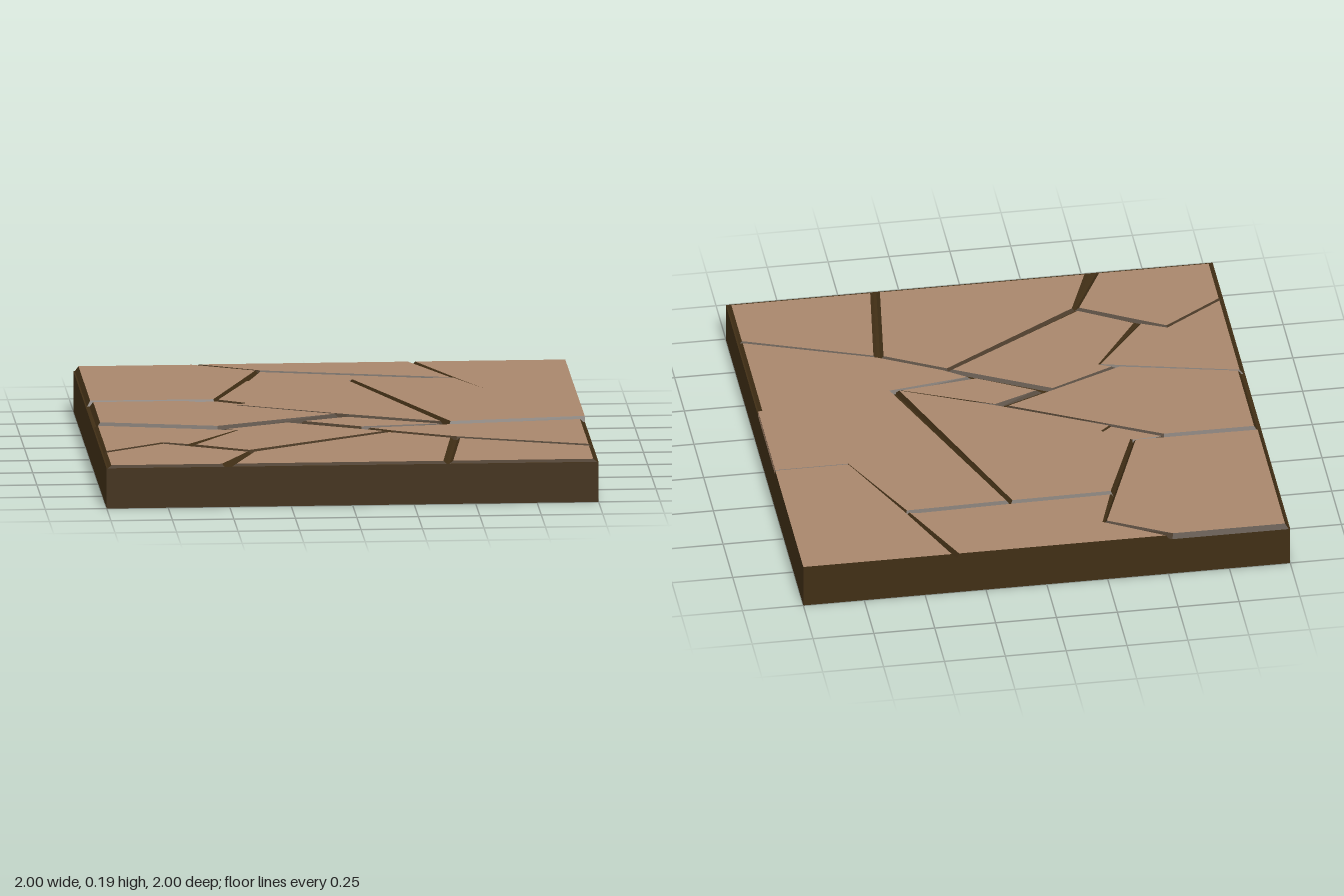
import * as THREE from 'three';

const BASE_TOP = 0.165;
const SKIRT = 0.014;

// Each slab: top height, then its outline [x, z], clockwise from above
const SLABS = {
  backLeft: [0.187, [[-0.98, -0.99], [-0.52, -0.99], [-0.27, -0.855], [-0.48, -0.28], [-0.98, -0.285]]],
  backMiddle: [0.186, [[-0.49, -1], [0.36, -1], [0.51, -0.67], [-0.25, -0.86]]],
  backWedge: [0.18, [[-0.25, -0.86], [0.51, -0.67], [0.09, -0.66], [-0.315, -0.655]]],
  backRight: [0.186, [[0.39, -1], [1, -1], [1, -0.275], [0.7, -0.275], [0.53, -0.66]]],
  right: [0.188, [[0.11, -0.645], [0.52, -0.655], [0.7, -0.275], [1, -0.275], [1, 0.165], [0.45, 0.235]]],
  centre: [0.187, [[-0.32, -0.64], [0.085, -0.645], [0.41, 0.23], [0.04, 0.06], [-0.39, -0.16],
    [-0.35, -0.195], [-0.46, -0.27]]],
  chip: [0.18, [[-0.59, -0.26], [-0.47, -0.268], [-0.355, -0.195], [-0.39, -0.155]]],
  left: [0.187, [[-0.97, -0.255], [-0.6, -0.255], [-0.39, -0.147], [-0.01, 0.05], [-0.5, 0.265], [-0.97, 0.16]]],
  frontLeft: [0.177, [[-0.98, 0.18], [-0.51, 0.29], [-0.43, 0.31], [-0.64, 0.58], [-0.74, 0.535], [-0.98, 0.7]]],
  frontLeftCorner: [0.175, [[-0.98, 0.72], [-0.74, 0.555], [-0.41, 0.74], [-0.53, 0.98], [-0.98, 0.98]]],
  frontCentre: [0.177, [[-0.47, 0.285], [-0.21, 0.165], [0.17, 0.365], [-0.4, 0.715], [-0.61, 0.59], [-0.42, 0.31]]],
  frontWedge: [0.18, [[-0.14, 0.155], [0.04, 0.08], [0.4, 0.24], [0.085, 0.28]]],
  frontRight: [0.178, [[0.12, 0.3], [0.44, 0.25], [0.98, 0.18], [0.98, 0.69], [0.46, 0.5], [0.21, 0.365]]],
  frontRightCorner: [0.175, [[0.47, 0.52], [0.98, 0.71], [0.98, 0.98], [0.41, 0.98]]],
  frontMiddle: [0.175, [[0.19, 0.38], [0.43, 0.51], [0.37, 0.98], [-0.47, 0.98], [-0.38, 0.74]]],
};

// Outward offset of an outline, mitres limited, kept inside the base
function grow(points, d) {
  const n = points.length;
  const normal = (a, b) => new THREE.Vector2(b[1] - a[1], a[0] - b[0]).normalize();
  const clamp = (v) => THREE.MathUtils.clamp(v, -1, 1);
  return points.map((p, i) => {
    const n1 = normal(points[(i + n - 1) % n], p);
    const n2 = normal(p, points[(i + 1) % n]);
    const m = n1.clone().add(n2);
    m.multiplyScalar(d / Math.max(0.5, 1 + n1.dot(n2)));
    return [clamp(p[0] + m.x), clamp(p[1] + m.y)];
  });
}

// Sloping band from the slab's top outline down to the base
function skirtGeometry(points, top) {
  const foot = grow(points, SKIRT);
  const pos = [];
  points.forEach((p, i) => {
    const j = (i + 1) % points.length;
    const a = [p[0], top, p[1]];
    const b = [points[j][0], top, points[j][1]];
    const c = [foot[j][0], BASE_TOP, foot[j][1]];
    const d = [foot[i][0], BASE_TOP, foot[i][1]];
    pos.push(...a, ...b, ...c, ...a, ...c, ...d);
  });
  const g = new THREE.BufferGeometry();
  g.setAttribute('position', new THREE.Float32BufferAttribute(pos, 3));
  g.computeVertexNormals();
  return g;
}

export function createModel() {
  const model = new THREE.Group();
  model.name = 'crackedFloorTile';
  const stone = new THREE.MeshStandardMaterial({ color: 0xa8866c });
  const earth = new THREE.MeshStandardMaterial({ color: 0x402e15 });

  const add = (parent, name, geometry, material) => {
    const mesh = new THREE.Mesh(geometry, material);
    mesh.name = name;
    parent.add(mesh);
    return mesh;
  };

  // Square base with a stone-coloured underside
  const base = new THREE.BoxGeometry(2, BASE_TOP, 2).translate(0, BASE_TOP / 2, 0);
  add(model, 'base', base, [earth, earth, earth, stone, earth, earth]);

  // Broken slabs
  for (const [name, [top, points]] of Object.entries(SLABS)) {
    const slab = new THREE.Group();
    slab.name = name + 'Slab';
    const shape = new THREE.Shape(points.map(([x, z]) => new THREE.Vector2(x, -z)));
    const cap = new THREE.ShapeGeometry(shape).rotateX(-Math.PI / 2).translate(0, top, 0);
    add(slab, name + 'Top', cap, stone);
    add(slab, name + 'Sides', skirtGeometry(points, top), earth);
    model.add(slab);
  }

  // Bare stone edge of the right slab
  const edge = new THREE.PlaneGeometry(0.44, 0.023).rotateY(Math.PI / 2).translate(1.0005, 0.1765, -0.055);
  add(model, 'rightSlabEdge', edge, stone);

  return model;
}
